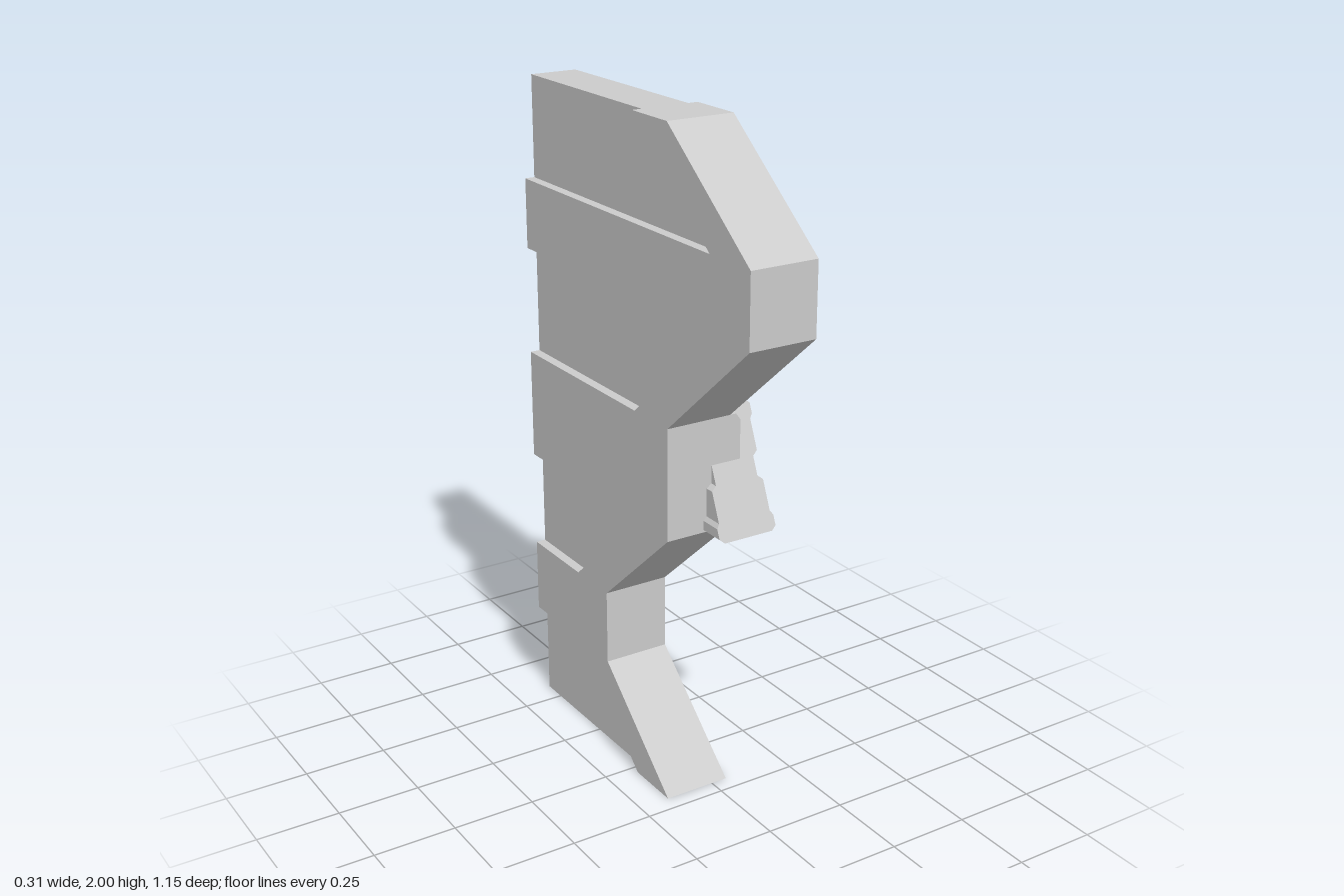
import * as THREE from 'three';

const BACK = -0.575, FRAME_L = -0.155, FRAME_R = 0.05, PANEL_L = -0.125, PANEL_R = 0.02;

const material = new THREE.MeshStandardMaterial({
  color: 0xcccccc, flatShading: true, side: THREE.DoubleSide,
});

// Collects flat polygons and turns them into one mesh
class Surface {
  constructor() { this.pos = []; }
  tri(a, b, c) { this.pos.push(...a, ...b, ...c); }
  quad(a, b, c, d) { this.tri(a, b, c); this.tri(a, c, d); }
  // Flat plate at x from a [z, y] outline, facing +x or -x
  plate(outline, x, sign) {
    const pts = outline.map(([z, y]) => new THREE.Vector2(z, y));
    for (const t of THREE.ShapeUtils.triangulateShape(pts, [])) {
      const [a, b, c] = t.map(i => pts[i]);
      const ccw = (b.x - a.x) * (c.y - a.y) - (b.y - a.y) * (c.x - a.x) > 0;
      const [p, q, r] = [a, b, c].map(v => [x, v.y, v.x]);
      if (ccw === (sign < 0)) this.tri(p, q, r); else this.tri(p, r, q);
    }
  }
  // Wall along a [z, y] path, spanning x0 to x1
  wall(path, x0, x1) {
    for (let i = 0; i + 1 < path.length; i++) {
      const [az, ay] = path[i], [bz, by] = path[i + 1];
      this.quad([x0, ay, az], [x0, by, bz], [x1, by, bz], [x1, ay, az]);
    }
  }
  mesh(name) {
    const g = new THREE.BufferGeometry();
    g.setAttribute('position', new THREE.Float32BufferAttribute(this.pos, 3));
    g.computeVertexNormals();
    const m = new THREE.Mesh(g, material);
    m.name = name;
    return m;
  }
}

// Raised frame outlines above and below the middle band
const upperFrame = [
  [BACK, 1.7], [0.4, 1.7], [0.03, 2], [0.2, 2], [0.58, 1.7], [0.58, 1.49],
  [0.2, 1.165], [0.03, 1.165], [0.4, 1.49], [BACK, 1.49],
];
const lowerFrame = [
  [0.2, 0.83], [-0.14, 0.53], [-0.14, 0.3], [0.2, 0], [0.03, 0], [-0.31, 0.3],
  [BACK, 0.3], [BACK, 0.53], [-0.31, 0.53], [0.03, 0.83],
];
const middle = [[BACK, 1.165], [0.2, 1.165], [0.2, 0.83], [BACK, 0.83]];

// Sunken panels: step edges, plus the corner closing the end panels
const recesses = [
  { edge: [[0.03, 2], [0.4, 1.7], [BACK, 1.7]], corner: [[BACK, 2]] },
  { edge: [[BACK, 1.49], [0.4, 1.49], [0.03, 1.165], [BACK, 1.165]], corner: [] },
  { edge: [[BACK, 0.83], [0.03, 0.83], [-0.31, 0.53], [BACK, 0.53]], corner: [] },
  { edge: [[BACK, 0.3], [-0.31, 0.3], [0.03, 0]], corner: [[BACK, 0]] },
];

function makeFrame() {
  const s = new Surface();
  for (const outline of [upperFrame, lowerFrame]) {
    s.plate(outline, FRAME_R, 1);
    s.plate(outline, FRAME_L, -1);
  }
  s.plate(middle, FRAME_L, -1);
  // Outer rim; the back stays open
  s.wall([
    [0.03, 2], [0.2, 2], [0.58, 1.7], [0.58, 1.49], [0.2, 1.165],
    [0.2, 0.83], [-0.14, 0.53], [-0.14, 0.3], [0.2, 0], [0.03, 0],
  ], FRAME_L, FRAME_R);
  // Steps down to the sunken panels
  for (const { edge } of recesses) {
    s.wall(edge, FRAME_R, PANEL_R);
    s.wall(edge, PANEL_L, FRAME_L);
  }
  return s.mesh('raisedFrame');
}

function makePanels() {
  const s = new Surface();
  for (const { edge, corner } of recesses) {
    s.plate([...edge, ...corner], PANEL_R, 1);
    s.plate([...edge, ...corner], PANEL_L, -1);
  }
  s.wall([[BACK, 2], [0.03, 2]], PANEL_L, PANEL_R);
  s.wall([[0.03, 0], [BACK, 0]], PANEL_L, PANEL_R);
  return s.mesh('sunkenPanels');
}

// Bevelled band standing proud across the middle of the right face
function makeBand() {
  const s = new Surface();
  const section = [[0.05, 1.165], [0.07, 1.165], [0.085, 1.145],
    [0.085, 0.842], [0.075, 0.83], [0.05, 0.83]];
  const front = section.map(([x, y]) => [x, y, 0.2]);
  const back = section.map(([x, y]) => [x, y, BACK]);
  for (let i = 0; i + 1 < section.length; i++) {
    s.quad(front[i], front[i + 1], back[i + 1], back[i]);
    if (i > 0) s.tri(front[0], front[i + 1], front[i]);
  }
  return s.mesh('middleBand');
}

// Half-octagon boss cut by a slanted plane, with rim, dish and centre pit
function makeBoss() {
  const s = new Surface();
  const cx = 0.06, cz = 0.2115, cy = 1;
  const outline = [[0.138, 1.175], [0.042, 1.09], [0.042, 0.92], [0.117, 0.825], [0.285, 0.825]];
  // [scale about the centre, half width]
  const rings = [[1, 0.08], [0.93, 0.095], [0.77, 0.095], [0.7, 0.086],
    [0.22, 0.086], [0.15, 0.07], [0, 0.07]];
  const ring = ([k, h], side) => outline.map(([z, y]) =>
    [cx + side * h, cy + k * (y - cy), cz + k * (z - cz)]);
  s.wall(outline, cx + rings[0][1], cx - rings[0][1]);
  const end = outline.length - 1;
  for (let i = 0; i + 1 < rings.length; i++) {
    const R = ring(rings[i], 1), r = ring(rings[i + 1], 1);
    const L = ring(rings[i], -1), l = ring(rings[i + 1], -1);
    for (let j = 0; j < end; j++) {
      s.quad(R[j], r[j], r[j + 1], R[j + 1]);
      s.quad(L[j], L[j + 1], l[j + 1], l[j]);
    }
    // Slanted front cut
    s.quad(L[0], l[0], r[0], R[0]);
    s.quad(L[end], R[end], r[end], l[end]);
  }
  return s.mesh('slantedBoss');
}

export function createModel() {
  const group = new THREE.Group();
  group.name = 'panelAssembly';
  group.add(makeFrame(), makePanels(), makeBand(), makeBoss());
  return group;
}
